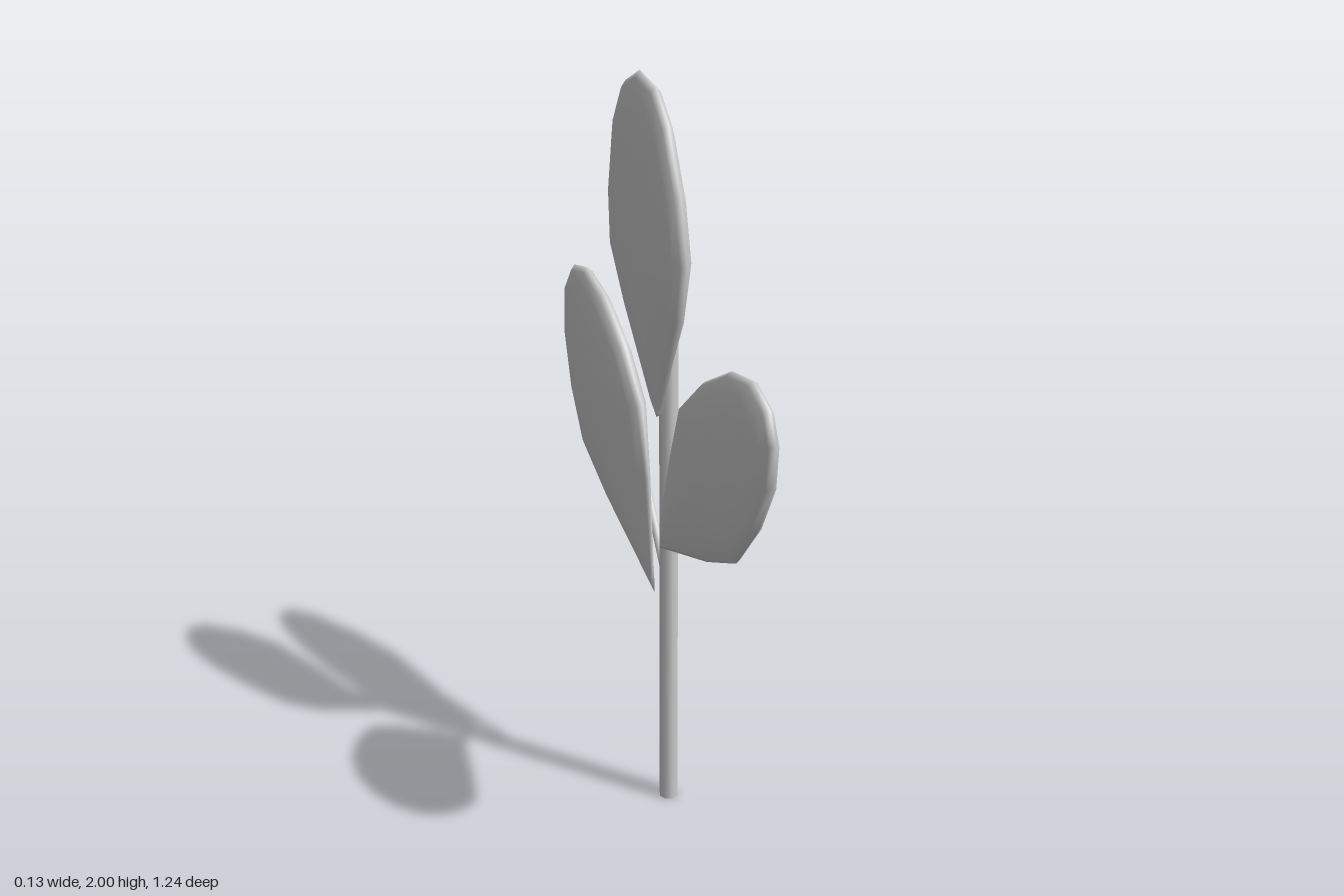
import * as THREE from 'three';

const material = new THREE.MeshStandardMaterial({ color: 0xcccccc });
const LEAF_X = -0.015, HALF_THICKNESS = 0.05;

// Leaf outlines as (z, y), starting at the base, counter-clockwise seen from +x
const leaves = {
  topLeaf: [[-0.02, 1.14], [-0.05, 1.167], [-0.194, 1.37], [-0.28, 1.53], [-0.289, 1.687], [-0.257, 1.86],
    [-0.2, 1.957], [-0.114, 2], [-0.02, 1.98], [0.05, 1.905], [0.12, 1.75], [0.157, 1.586],
    [0.125, 1.43], [0.066, 1.295], [0.013, 1.16]],
  frontLeaf: [[0, 0.78], [0.01, 0.89], [0.066, 1.066], [0.135, 1.23], [0.257, 1.337], [0.4, 1.416],
    [0.507, 1.432], [0.59, 1.39], [0.623, 1.316], [0.613, 1.204], [0.544, 1.07], [0.438, 0.94], [0.28, 0.87]],
  backLeaf: [[-0.034, 0.631], [-0.337, 0.775], [-0.48, 0.875], [-0.57, 1.03], [-0.618, 1.2], [-0.613, 1.31],
    [-0.56, 1.38], [-0.47, 1.4], [-0.353, 1.363], [-0.215, 1.263], [-0.109, 1.135], [-0.066, 0.944], [-0.04, 0.7]],
};

// Lens-shaped leaf: the outline shrinks in rings towards a centre on each side
function leafGeometry(outline) {
  const pts = outline.map(([z, y]) => new THREE.Vector2(z, y));
  const n = pts.length;
  const centre = pts.reduce((sum, p) => sum.add(p), new THREE.Vector2()).divideScalar(n);
  const baseDir = pts[0].clone().sub(centre).normalize();
  const rings = [0.35, 0.65, 0.85, 0.96, 1, -0.96, -0.85, -0.65, -0.35];
  const positions = [LEAF_X + HALF_THICKNESS, centre.y, centre.x];
  const index = [];

  for (const r of rings) {
    const s = Math.abs(r);
    for (const p of pts) {
      const d = p.clone().sub(centre);
      // Rounded rim, tapering straight towards the base
      const towardBase = Math.max(0, d.clone().normalize().dot(baseDir)) ** 4;
      const t = (1 - s * s) ** (0.5 + 0.4 * towardBase);
      positions.push(LEAF_X + Math.sign(r) * HALF_THICKNESS * t, centre.y + d.y * s, centre.x + d.x * s);
    }
  }
  const last = positions.length / 3;
  positions.push(LEAF_X - HALF_THICKNESS, centre.y, centre.x);

  const id = (ring, j) => 1 + ring * n + (j % n);
  for (let j = 0; j < n; j++) {
    index.push(0, id(0, j), id(0, j + 1));
    for (let k = 0; k < rings.length - 1; k++) {
      index.push(id(k, j), id(k + 1, j), id(k + 1, j + 1), id(k, j), id(k + 1, j + 1), id(k, j + 1));
    }
    index.push(id(rings.length - 1, j), last, id(rings.length - 1, j + 1));
  }
  const geometry = new THREE.BufferGeometry();
  geometry.setAttribute('position', new THREE.Float32BufferAttribute(positions, 3));
  geometry.setIndex(index);
  geometry.computeVertexNormals();
  return geometry;
}

// Straight round rod between two points
function rod(name, from, to, radius, sides) {
  const a = new THREE.Vector3(...from), b = new THREE.Vector3(...to);
  const dir = b.clone().sub(a);
  const mesh = new THREE.Mesh(new THREE.CylinderGeometry(radius, radius, dir.length(), sides), material);
  mesh.name = name;
  mesh.position.copy(a).add(b).multiplyScalar(0.5);
  mesh.quaternion.setFromUnitVectors(new THREE.Vector3(0, 1, 0), dir.normalize());
  return mesh;
}

export function createModel() {
  const group = new THREE.Group();
  group.name = 'leafySprig';

  // Stem and the two leaf stalks
  group.add(
    rod('stem', [0.016, 0, -0.013], [0.016, 1.585, -0.013], 0.026, 8),
    rod('frontStalk', [0.026, 0.8, 0], [0.05, 1.17, 0.35], 0.012, 8),
    rod('backStalk', [0.024, 0.64, -0.033], [0.046, 1.06, -0.347], 0.012, 8),
  );

  // Leaves
  for (const [name, outline] of Object.entries(leaves)) {
    const leaf = new THREE.Mesh(leafGeometry(outline), material);
    leaf.name = name;
    group.add(leaf);
  }
  return group;
}
